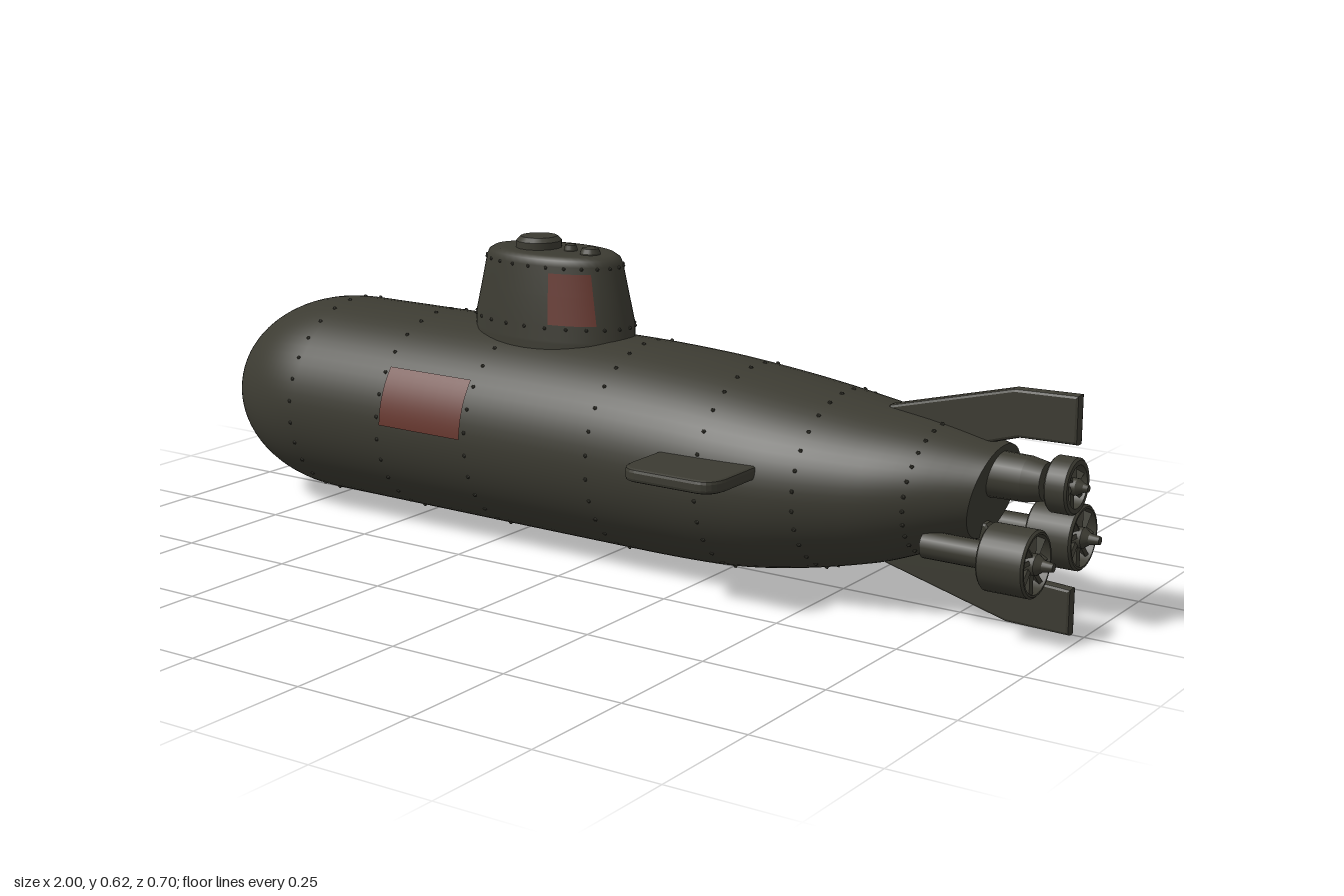
import * as THREE from 'three';
import { mergeGeometries } from 'three/addons/utils/BufferGeometryUtils.js';
import { ParametricGeometry } from 'three/addons/geometries/ParametricGeometry.js';

const NOSE = 0.29, TAIL = 0.81;
// hull stations: x, top, bottom, half width
const STATIONS = [
  [-0.71, 0.437, 0.017, 0.228], [0, 0.435, 0.013, 0.228], [0.2, 0.427, 0.014, 0.228],
  [0.32, 0.416, 0.021, 0.225], [0.45, 0.4, 0.042, 0.213], [0.6, 0.378, 0.078, 0.18],
  [0.7, 0.362, 0.112, 0.147], [TAIL, 0.337, 0.155, 0.1]
];
const curve = new THREE.CatmullRomCurve3(STATIONS.map(([x, t, b]) => new THREE.Vector3(x, t, b)));
const lerp = THREE.MathUtils.lerp;

// centre height and radii of the hull at x
function section(x) {
  let i = 0;
  while (i < STATIONS.length - 2 && x > STATIONS[i + 1][0]) i++;
  const A = STATIONS[i], B = STATIONS[i + 1];
  const f = THREE.MathUtils.clamp((x - A[0]) / (B[0] - A[0]), 0, 1);
  const slope = (k, c) => {
    const p = STATIONS[Math.max(k - 1, 0)], n = STATIONS[Math.min(k + 1, STATIONS.length - 1)];
    return (n[c] - p[c]) / (n[0] - p[0]) * (B[0] - A[0]);
  };
  const smooth = (c) => {
    const f2 = f * f, f3 = f2 * f;
    return A[c] * (2 * f3 - 3 * f2 + 1) + slope(i, c) * (f3 - 2 * f2 + f)
      + B[c] * (3 * f2 - 2 * f3) + slope(i + 1, c) * (f3 - f2);
  };
  const top = smooth(1), bottom = smooth(2);
  const d = Math.max(0, (-1 + NOSE - x) / NOSE);
  const k = Math.sqrt(Math.max(0, 1 - Math.pow(d, 2.1)));
  return { cy: (top + bottom) / 2, ry: k * (top - bottom) / 2, rz: k * smooth(3) };
}

// point on the hull; the tail end leans slightly aft at its top
function hullPoint(x, a, lift, out) {
  const s = section(x), t = THREE.MathUtils.clamp((x - 0.6) / 0.21, 0, 1);
  return out.set(x + 0.02 * t * Math.sin(a), s.cy + (s.ry + lift) * Math.sin(a), (s.rz + lift) * Math.cos(a));
}

// doubled points keep the edges of a lathe profile sharp
const sharp = (pts) => pts.flatMap((p) => [new THREE.Vector2(...p), new THREE.Vector2(...p)]);

export function createModel() {
  const model = new THREE.Group();
  const olive = new THREE.MeshStandardMaterial({ color: 0x3c3b32 });
  olive.name = 'dark olive';
  const red = new THREE.MeshStandardMaterial({ color: 0x66362d });
  red.name = 'dull red';

  const add = (name, geometry, material = olive, parent = model) => {
    const mesh = new THREE.Mesh(geometry, material);
    mesh.name = name;
    parent.add(mesh);
    return mesh;
  };

  // hull: rounded nose, straight body, tapered tail
  add('hull', new ParametricGeometry((u, v, p) => {
    const n = 0.3;
    const x = v < n ? -1 + NOSE * (1 - Math.cos((0.01 + 0.99 * v / n) * Math.PI / 2))
      : lerp(-1 + NOSE, TAIL, (v - n) / (1 - n));
    hullPoint(x, -u * Math.PI * 2, 0, p);
  }, 64, 80));
  const rim = new THREE.Vector3();
  add('tailPlate', new ParametricGeometry((u, v, p) => {
    hullPoint(TAIL, -u * Math.PI * 2, 0, rim);
    p.set(0.81, 0.246, 0).lerp(rim, 1 - v * 0.999);
  }, 64, 2));

  // red plates on both flanks
  for (const [name, a0, a1] of [['leftFlankPlate', 0.62, 0.04], ['rightFlankPlate', Math.PI - 0.04, Math.PI - 0.62]]) {
    add(name, new ParametricGeometry((u, v, p) => {
      hullPoint(lerp(-0.47, -0.26, v), lerp(a0, a1, u), 0.003, p);
    }, 10, 6), red);
  }

  // rivet rows round the hull
  const rivets = [];
  const at = new THREE.Vector3();
  for (const x of [-0.72, -0.48, -0.25, 0.05, 0.3, 0.5, 0.7]) {
    for (let i = 0; i < 28; i++) {
      hullPoint(x, (i + 0.5) / 28 * Math.PI * 2, 0, at);
      rivets.push(new THREE.IcosahedronGeometry(0.0045, 0).translate(at.x, at.y, at.z));
    }
  }
  add('hullRivets', mergeGeometries(rivets));

  // conning tower, an oval lathe
  const tower = new THREE.Group();
  tower.name = 'conningTower';
  tower.position.x = -0.188;
  model.add(tower);
  const oval = (name, geometry, material) => {
    add(name, geometry, material, tower).scale.z = 0.56;
  };
  const v2 = (x, y) => new THREE.Vector2(x, y);
  oval('towerShell', new THREE.LatheGeometry([
    v2(0.192, 0.36), v2(0.192, 0.425), v2(0.187, 0.43), v2(0.186, 0.46), v2(0.172, 0.52),
    v2(0.159, 0.578), v2(0.153, 0.59), v2(0.14, 0.597), v2(0.12, 0.598), v2(0, 0.598)], 48));
  const glass = [v2(0.1885, 0.463), v2(0.175, 0.52), v2(0.165, 0.565)];
  const windows = [['leftWindow', 0.3, 0.62], ['rightWindow', Math.PI - 0.92, 0.62], ['frontWindow', Math.PI * 1.5 - 0.27, 0.54]];
  for (const [name, start, sweep] of windows) {
    oval(name, new THREE.LatheGeometry(glass, 10, start, sweep), red);
  }
  const towerRivets = [];
  for (const [r, y] of [[0.187, 0.455], [0.16, 0.575]]) {
    for (let i = 0; i < 24; i++) {
      const a = i / 24 * Math.PI * 2;
      towerRivets.push(new THREE.IcosahedronGeometry(0.004, 0).translate(r * Math.sin(a), y, r * 0.56 * Math.cos(a)));
    }
  }
  add('towerRivets', mergeGeometries(towerRivets), olive, tower);

  // hatch and small fittings on the tower roof
  const fittings = [['hatch', -0.227, 0, 0.047, 0.621], ['vent', -0.147, 0, 0.014, 0.61],
    ['leftMastCap', -0.09, 0.012, 0.021, 0.61], ['rightMastCap', -0.105, -0.012, 0.016, 0.606]];
  for (const [name, x, z, r, top] of fittings) {
    add(name, new THREE.LatheGeometry(sharp([[r, 0.59], [r, top - 0.009], [r * 0.8, top], [0, top]]), 16))
      .position.set(x, 0, z);
  }

  // bevelled plate used by every fin
  const plate = (shape) => new THREE.ExtrudeGeometry(shape, {
    depth: 0.012, bevelThickness: 0.007, bevelSize: 0.006, bevelSegments: 2, curveSegments: 6
  }).translate(0, 0, -0.006);

  // diving planes with rounded outer corners
  const plane = new THREE.Shape();
  plane.moveTo(0.218, 0.15);
  plane.lineTo(0.418, 0.15);
  plane.lineTo(0.418, 0.305);
  plane.quadraticCurveTo(0.415, 0.345, 0.385, 0.346);
  plane.lineTo(0.25, 0.346);
  plane.quadraticCurveTo(0.22, 0.345, 0.218, 0.305);
  for (const [name, side] of [['leftDivingPlane', 1], ['rightDivingPlane', -1]]) {
    add(name, plate(plane).rotateX(side * Math.PI / 2)).position.y = 0.266;
  }

  // upper and lower rudder fins
  const fins = {
    upperFin: [[0.58, 0.36], [0.78, 0.338], [0.86, 0.362], [0.969, 0.364], [0.969, 0.444], [0.85, 0.441], [0.6, 0.377]],
    lowerFin: [[0.6, 0.076], [0.85, 0.01], [0.969, 0.007], [0.969, 0.084], [0.87, 0.09], [0.8, 0.18], [0.7, 0.19]]
  };
  for (const [name, pts] of Object.entries(fins)) add(name, plate(new THREE.Shape(pts.map((p) => v2(...p)))));

  // ducted propeller: ring, spokes, hub and shaft, built along y and laid along +x
  function propulsor(name, [x, y, z], { r, wall, length, blades, hub, tip, shaft }) {
    const group = new THREE.Group();
    group.name = name;
    group.position.set(x, y, z);
    group.rotation.z = -Math.PI / 2;
    model.add(group);
    const ri = r - wall, b = 0.004;
    add('duct', new THREE.LatheGeometry(sharp([
      [ri, 0], [r - b, 0], [r, b], [r, length - b], [r - b, length], [ri, length], [ri, 0]]), 32), olive, group);
    add('hub', new THREE.LatheGeometry(sharp([
      [0, 0], [hub, 0], [hub, length], [hub * 0.55, length + 0.012], [hub * 0.4, tip], [0, tip]]), 16), olive, group);
    add('shaft', new THREE.LatheGeometry(sharp(shaft), 20), olive, group);
    for (let i = 0; i < blades; i++) {
      const a = i / blades * Math.PI * 2;
      const blade = new THREE.BoxGeometry(ri, 0.03, 0.008).rotateX(0.5).translate(ri / 2 + 0.002, length - 0.02, 0).rotateY(a);
      add('blade', blade, olive, group);
    }
  }
  propulsor('upperPropulsor', [0.93, 0.28, 0], {
    r: 0.053, wall: 0.013, length: 0.045, blades: 6, hub: 0.016, tip: 0.066,
    shaft: [[0.045, -0.13], [0.043, -0.05], [0.036, -0.015], [0.018, -0.01], [0.018, 0.01]]
  });
  for (const [name, z] of [['leftPropulsor', 0.1], ['rightPropulsor', -0.1]]) {
    propulsor(name, [0.855, 0.155, z], {
      r: 0.063, wall: 0.008, length: 0.093, blades: 8, hub: 0.02, tip: 0.125,
      shaft: [[0.026, -0.13], [0.026, -0.01], [0.02, 0.01]]
    });
  }
  return model;
}
